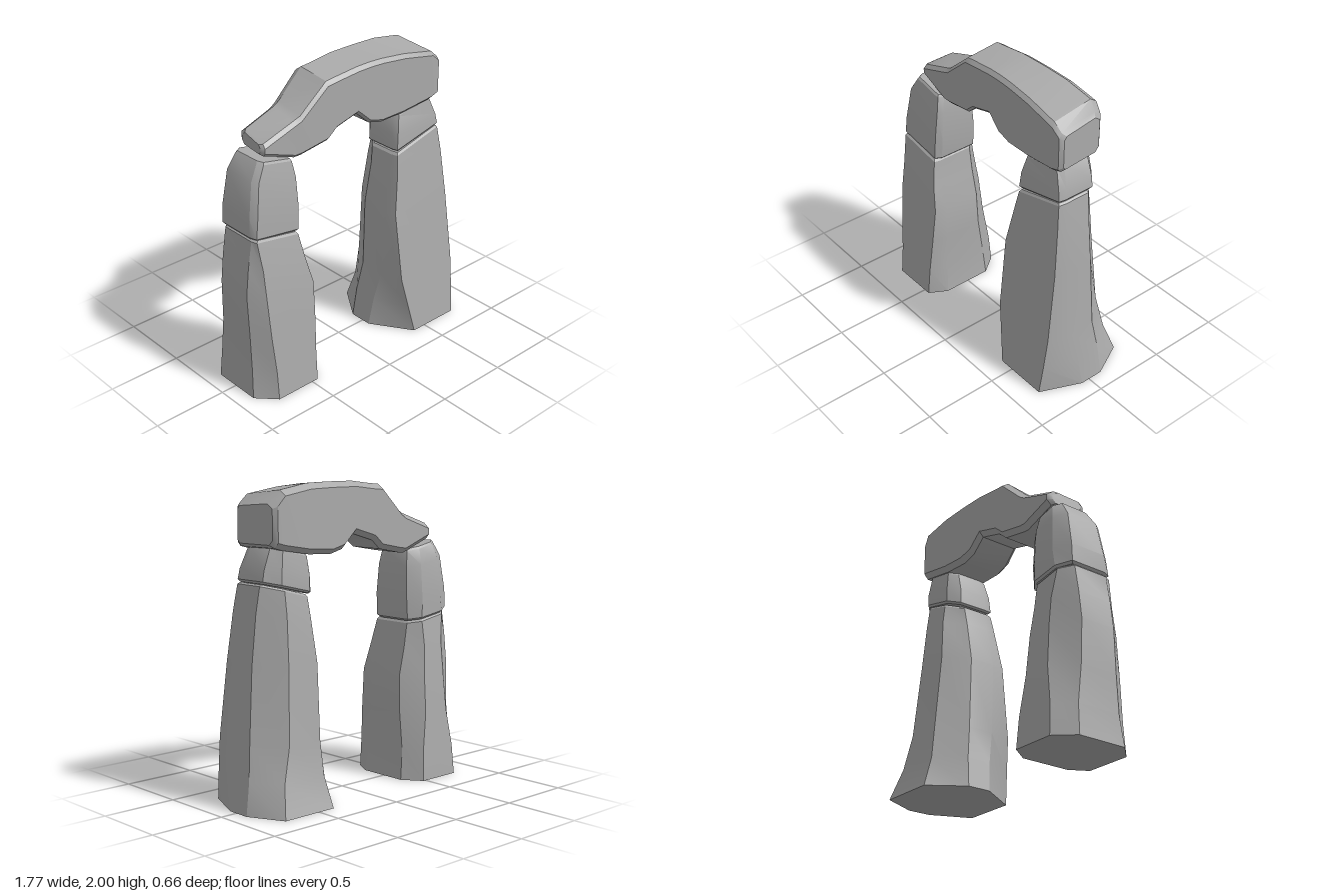
import * as THREE from 'three';
import { toCreasedNormals } from 'three/addons/utils/BufferGeometryUtils.js';

// Skin a stack of equal-length rings and close both ends
function loft(rings, crease = 0.42) {
  const n = rings[0].length, pos = [], index = [];
  const mean = ring => ring.reduce((s, p) => s.add(p), new THREE.Vector3()).divideScalar(n);
  rings.forEach(r => r.forEach(p => pos.push(p.x, p.y, p.z)));
  for (let i = 0; i < rings.length - 1; i++) {
    for (let j = 0; j < n; j++) {
      const a = i * n + j, b = i * n + (j + 1) % n;
      index.push(a, b, a + n, b, b + n, a + n);
    }
  }
  const last = (rings.length - 1) * n, c0 = rings.length * n;
  [mean(rings[0]), mean(rings[rings.length - 1])].forEach(p => pos.push(p.x, p.y, p.z));
  for (let j = 0; j < n; j++) {
    const k = (j + 1) % n;
    index.push(c0, k, j, c0 + 1, last + j, last + k);
  }
  // Turn the faces outward if the signed volume is negative
  let volume = 0;
  const at = i => new THREE.Vector3().fromArray(pos, i * 3);
  for (let i = 0; i < index.length; i += 3) {
    volume += at(index[i]).dot(at(index[i + 1]).cross(at(index[i + 2])));
  }
  if (volume < 0) index.reverse();
  const g = new THREE.BufferGeometry();
  g.setAttribute('position', new THREE.Float32BufferAttribute(pos, 3));
  g.setIndex(index);
  return toCreasedNormals(g, crease);
}

// Inset copy of a ring, used for worn end edges
function inset(ring, scale, shift) {
  const c = ring.reduce((s, p) => s.add(p), new THREE.Vector3()).divideScalar(ring.length);
  return ring.map(p => p.clone().sub(c).multiplyScalar(scale).add(c).add(shift));
}

// Eight-sided upright stone; each row is
// [yLeft, yRight, x0, x1, zBack, zFront, frontX0, frontX1, backX0, backX1, sideZ0, sideZ1]
function uprightStone(rows, bevelBottom) {
  const rings = rows.map(([yl, yr, x0, x1, zb, zf, f0, f1, b0, b1, s0, s1]) =>
    [[f0, zf], [f1, zf], [x1, s1], [x1, s0], [b1, zb], [b0, zb], [x0, s0], [x0, s1]].map(([x, z]) =>
      new THREE.Vector3(x, yl + (yr - yl) * (x - x0) / (x1 - x0), z)));
  const up = new THREE.Vector3(0, 0.014, 0);
  rings.push(inset(rings[rings.length - 1], 0.93, up));
  if (bevelBottom) rings.unshift(inset(rings[0], 0.93, up.clone().negate()));
  return loft(rings);
}

// Lintel sections along x; each row is
// [x, yBottom, yTopFront, yTopBack, zBack, zFront, skew of the back edge in x]
function lintelStone(rows) {
  const c = 0.022;
  const rings = rows.map(([x, yb, tf, tk, zb, zf, skew]) =>
    [[yb, zf - c], [yb + c, zf], [tf - c, zf], [tf + 0.004, zf - c],
      [tk, zb + 0.05], [tk - 0.035, zb], [yb + c * 1.5, zb], [yb, zb + c * 1.5]].map(([y, z]) =>
      new THREE.Vector3(x + skew * (zf - z) / (zf - zb), y, z)));
  rings.unshift(inset(rings[0], 0.78, new THREE.Vector3(-0.018, 0, 0)));
  rings.push(inset(rings[rings.length - 1], 0.86, new THREE.Vector3(0.022, 0, 0)));
  return loft(rings, 0.5);
}

export function createModel() {
  const model = new THREE.Group();
  model.name = 'stoneArch';
  const stone = new THREE.MeshStandardMaterial({ color: 0xaaaaaa });
  stone.name = 'grey stone';
  const add = (name, geometry) => {
    const mesh = new THREE.Mesh(geometry, stone);
    mesh.name = name;
    model.add(mesh);
  };

  // Wide pillar on the +x side
  add('leftPillar', uprightStone([
    [0, 0, 0.225, 0.885, -0.33, 0.33, 0.40, 0.77, 0.38, 0.77, -0.10, 0.06],
    [0.20, 0.20, 0.25, 0.855, -0.265, 0.306, 0.36, 0.78, 0.40, 0.72, -0.09, 0.08],
    [0.42, 0.42, 0.28, 0.822, -0.24, 0.28, 0.315, 0.787, 0.41, 0.66, -0.06, 0.12],
    [0.90, 0.90, 0.282, 0.79, -0.205, 0.222, 0.30, 0.768, 0.40, 0.63, -0.05, 0.13],
    [1.17, 1.22, 0.335, 0.755, -0.18, 0.187, 0.345, 0.742, 0.43, 0.62, -0.05, 0.12],
    [1.285, 1.385, 0.352, 0.732, -0.16, 0.166, 0.36, 0.722, 0.44, 0.62, -0.06, 0.12],
  ], false));

  // Block between the wide pillar and the lintel
  add('leftCapStone', uprightStone([
    [1.325, 1.415, 0.352, 0.732, -0.16, 0.165, 0.36, 0.72, 0.42, 0.64, -0.09, 0.12],
    [1.43, 1.48, 0.358, 0.722, -0.16, 0.158, 0.37, 0.708, 0.42, 0.64, -0.09, 0.11],
    [1.545, 1.61, 0.385, 0.675, -0.145, 0.135, 0.395, 0.66, 0.43, 0.62, -0.09, 0.09],
  ], true));

  // Slim pillar on the -x side
  add('rightPillar', uprightStone([
    [0, 0, -0.89, -0.388, -0.285, 0.30, -0.775, -0.455, -0.78, -0.48, -0.16, 0.18],
    [0.20, 0.20, -0.875, -0.41, -0.27, 0.283, -0.775, -0.45, -0.77, -0.49, -0.15, 0.16],
    [0.45, 0.45, -0.875, -0.415, -0.25, 0.26, -0.79, -0.435, -0.73, -0.53, -0.12, 0.15],
    [0.74, 0.70, -0.88, -0.42, -0.225, 0.235, -0.80, -0.425, -0.72, -0.54, -0.11, 0.14],
    [0.92, 0.88, -0.86, -0.462, -0.205, 0.21, -0.80, -0.468, -0.72, -0.56, -0.11, 0.14],
    [1.105, 1.045, -0.83, -0.488, -0.18, 0.178, -0.815, -0.495, -0.75, -0.56, -0.11, 0.14],
  ], false));

  // Block on top of the slim pillar
  add('rightCapStone', uprightStone([
    [1.13, 1.075, -0.834, -0.472, -0.19, 0.175, -0.815, -0.49, -0.74, -0.55, -0.13, 0.13],
    [1.25, 1.23, -0.83, -0.462, -0.19, 0.172, -0.80, -0.483, -0.72, -0.55, -0.13, 0.13],
    [1.48, 1.42, -0.79, -0.468, -0.175, 0.15, -0.765, -0.482, -0.71, -0.55, -0.12, 0.11],
    [1.575, 1.525, -0.73, -0.485, -0.15, 0.13, -0.71, -0.495, -0.68, -0.56, -0.11, 0.09],
  ], true));

  // Arched lintel spanning both pillars
  add('lintel', lintelStone([
    [-0.675, 1.60, 1.675, 1.705, -0.16, 0.105, 0.035],
    [-0.45, 1.522, 1.755, 1.78, -0.165, 0.115, 0.03],
    [-0.40, 1.525, 1.775, 1.805, -0.165, 0.12, 0.02],
    [-0.20, 1.56, 1.945, 1.975, -0.17, 0.13, 0],
    [-0.13, 1.62, 1.955, 1.98, -0.172, 0.133, 0],
    [0.04, 1.67, 1.975, 2.0, -0.175, 0.14, 0],
    [0.14, 1.58, 1.98, 2.0, -0.178, 0.145, 0],
    [0.24, 1.555, 1.978, 2.0, -0.18, 0.15, 0],
    [0.42, 1.565, 1.963, 1.995, -0.182, 0.16, 0],
    [0.65, 1.60, 1.925, 1.96, -0.185, 0.175, -0.02],
    [0.71, 1.615, 1.875, 1.90, -0.175, 0.17, -0.03],
  ]));

  return model;
}
